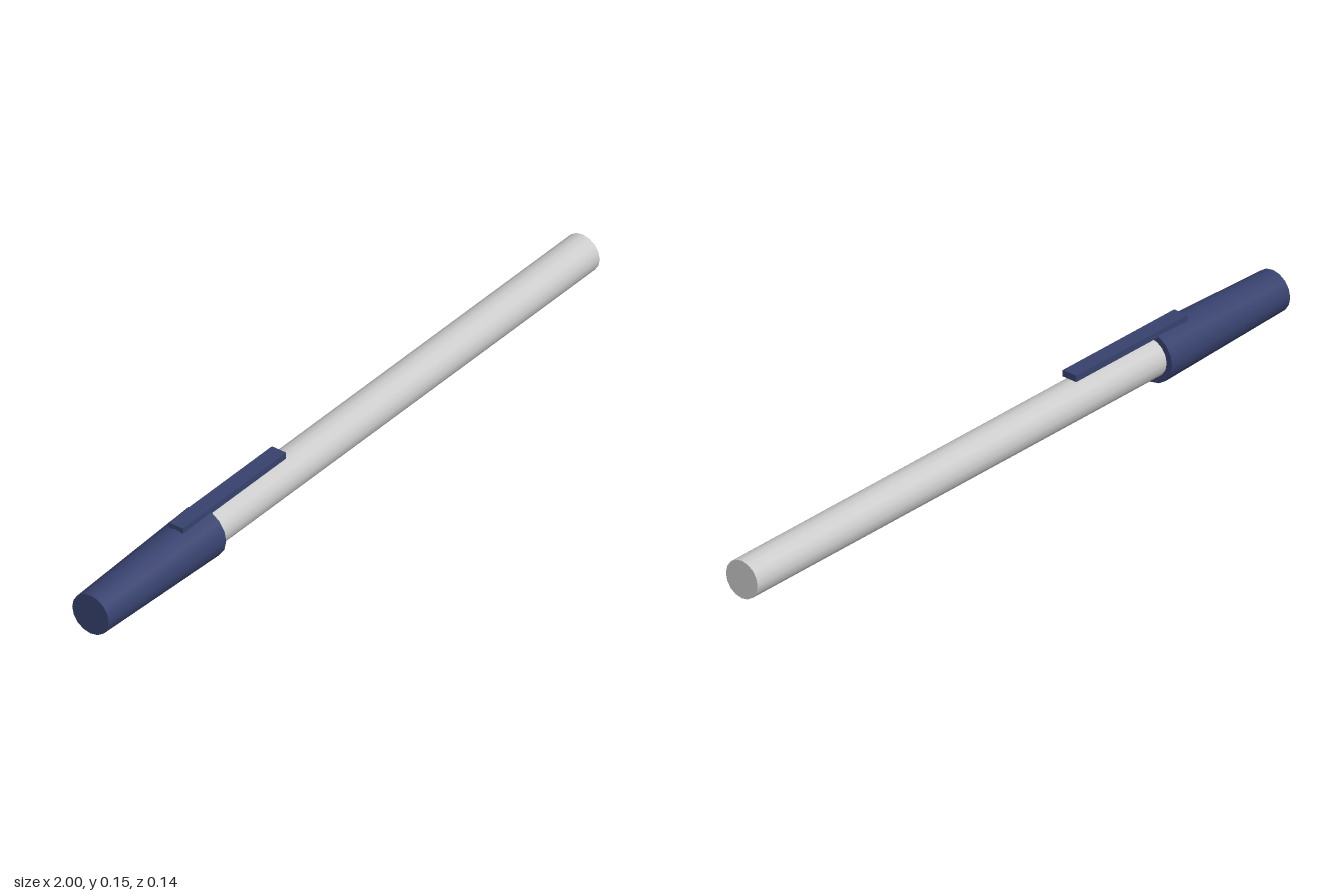
import * as THREE from 'three';

const AXIS_Y = 0.073;
const SIDES = 16;

export function createModel() {
  const group = new THREE.Group();
  const grey = new THREE.MeshStandardMaterial({ color: 0xcccccc });
  const blue = new THREE.MeshStandardMaterial({ color: 0x37416d });

  // Round part lying along x, from x0 (radius r0) to x1 (radius r1)
  function rod(name, x0, r0, x1, r1, material) {
    const geometry = new THREE.CylinderGeometry(r1, r0, x1 - x0, SIDES);
    geometry.rotateZ(-Math.PI / 2);
    const mesh = new THREE.Mesh(geometry, material);
    mesh.name = name;
    mesh.position.set((x0 + x1) / 2, AXIS_Y, 0);
    group.add(mesh);
  }

  // Barrel runs into the cap, which widens towards its open end
  rod('barrel', -0.95, 0.0535, 1, 0.0535, grey);
  rod('cap', -1, 0.058, -0.54, 0.0715, blue);

  // Pocket clip, rooted in the cap and reaching over the barrel
  const clip = new THREE.Mesh(new THREE.BoxGeometry(0.42, 0.018, 0.045), blue);
  clip.name = 'clip';
  clip.position.set(-0.444, 0.144, 0);
  group.add(clip);

  return group;
}
